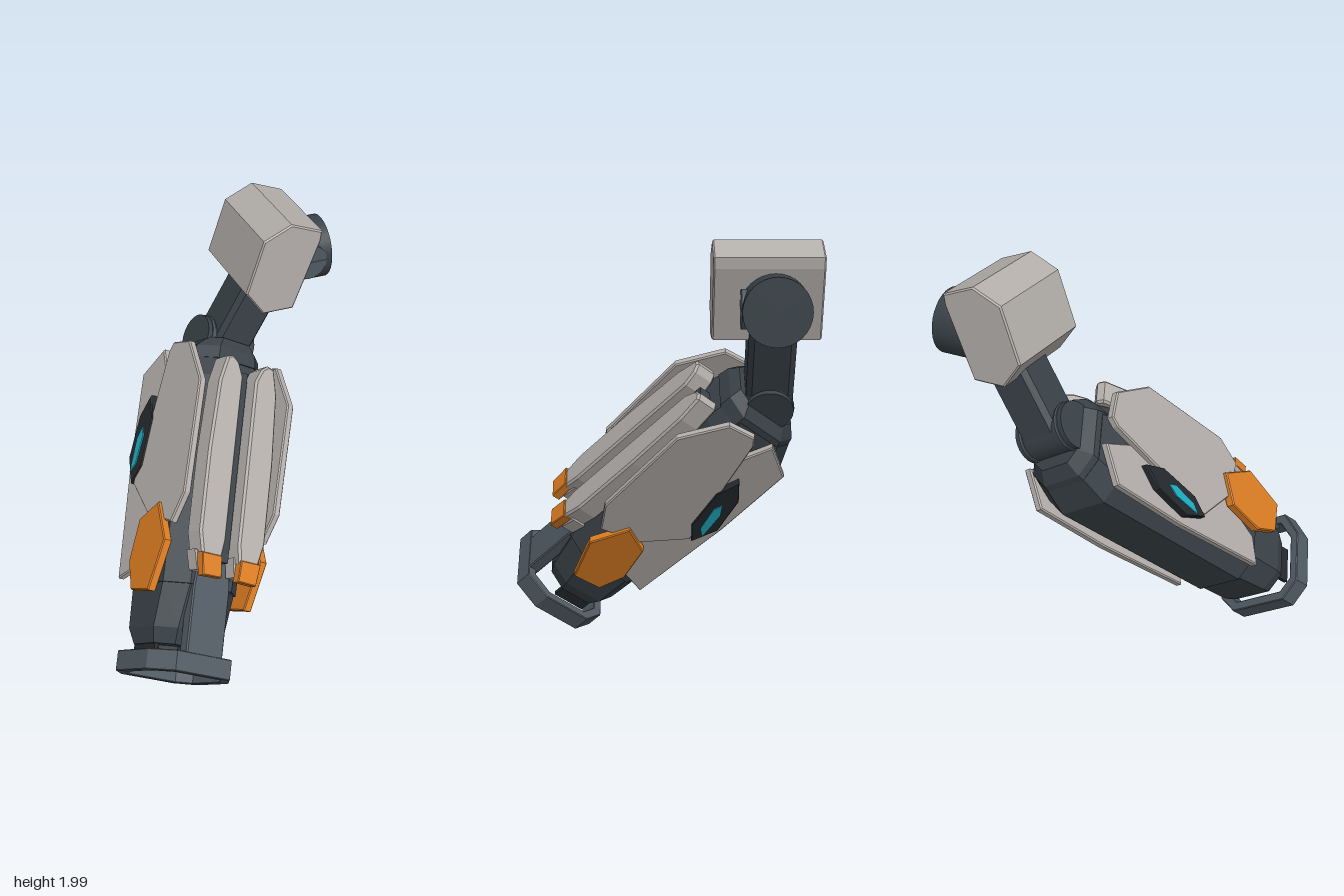
import * as THREE from 'three';
import { ConvexGeometry } from 'three/addons/geometries/ConvexGeometry.js';

const material = (name, color) => {
  const m = new THREE.MeshStandardMaterial({ color });
  m.name = name;
  return m;
};

export function createModel() {
  const grey = material('armourGrey', 0xb3aeaa);
  const dark = material('frameDark', 0x394147);
  const steel = material('trimSteel', 0x4f5961);
  const black = material('recessBlack', 0x24292d);
  const orange = material('accentOrange', 0xda7c22);
  const cyan = material('lightCyan', 0x1eacbf);

  const root = new THREE.Group();
  root.name = 'mechanicalArm';

  const add = (parent, name, geometry, mat, x = 0, y = 0, z = 0) => {
    const mesh = new THREE.Mesh(geometry, mat);
    mesh.name = name;
    mesh.position.set(x, y, z);
    parent.add(mesh);
    return mesh;
  };
  const toVectors = (pts) => pts.map(([x, y]) => new THREE.Vector2(x, y));

  // Slab of exact thickness with a small chamfer, starting at z = 0
  const slab = (pts, depth, bevel = 0.01, hole) => {
    const shape = new THREE.Shape(toVectors(pts));
    if (hole) shape.holes.push(new THREE.Path(toVectors(hole)));
    const g = new THREE.ExtrudeGeometry(shape, {
      depth: depth - 2 * bevel, bevelEnabled: bevel > 0, bevelSize: bevel,
      bevelOffset: -bevel, bevelThickness: bevel, bevelSegments: 1,
    });
    return g.translate(0, 0, bevel);
  };
  // Slab lying against the side of the forearm; points are [along, forward]
  const sideSlab = (pts, depth, bevel) =>
    slab(pts.map(([w, n]) => [-n, w]), depth, bevel).rotateY(Math.PI / 2);

  // Shoulder armour block
  add(root, 'shoulderArmour', slab([
    [0.295, 1.94], [0.43, 2.0], [0.583, 1.94], [0.575, 1.89], [0.49, 1.68],
    [0.445, 1.57], [0.295, 1.57], [0.21, 1.69],
  ], 0.475, 0.007), grey, 0, 0, -0.695);

  // Shoulder joint
  add(root, 'shoulderJoint',
    new THREE.CylinderGeometry(0.148, 0.148, 0.23, 32).rotateZ(Math.PI / 2), dark, 0.578, 1.722, -0.485);
  add(root, 'shoulderPivot',
    new THREE.CylinderGeometry(0.085, 0.085, 0.155, 24).rotateX(Math.PI / 2), steel, 0.58, 1.722, -0.415);
  add(root, 'shoulderLug', new THREE.BoxGeometry(0.08, 0.12, 0.08), black, 0.45, 1.76, -0.39);

  // Arm group has its origin at the elbow and leans sideways
  const arm = new THREE.Group();
  arm.name = 'arm';
  arm.position.set(0.178, 1.29, -0.485);
  arm.rotation.z = -Math.PI / 6;
  root.add(arm);

  // Upper arm and elbow
  add(arm, 'upperArm', slab([
    [-0.1, -0.08], [-0.08, -0.105], [0.08, -0.105], [0.1, -0.08],
    [0.1, 0.08], [0.08, 0.105], [-0.08, 0.105], [-0.1, 0.08],
  ], 0.52, 0).rotateX(-Math.PI / 2), dark, 0.012, 0, 0);
  add(arm, 'elbowJoint',
    new THREE.CylinderGeometry(0.108, 0.108, 0.27, 32).rotateZ(Math.PI / 2), dark);
  for (const s of [-1, 1]) {
    add(arm, 'elbowRing',
      new THREE.CylinderGeometry(0.113, 0.113, 0.014, 32).rotateZ(Math.PI / 2), steel, s * 0.105, 0, 0);
  }

  // Forearm: x across, y along towards the elbow, z forward
  const forearm = new THREE.Group();
  forearm.name = 'forearm';
  forearm.rotation.x = -41 * Math.PI / 180;
  arm.add(forearm);

  // Eight-sided body from cross-sections
  const section = (y, hx, z0, z1, c) => [
    [-hx, z0 + c], [-hx + c, z0], [hx - c, z0], [hx, z0 + c],
    [hx, z1 - c], [hx - c, z1], [-hx + c, z1], [-hx, z1 - c],
  ].map(([x, z]) => new THREE.Vector3(x, y, z));
  const hull = (...sections) => new ConvexGeometry(sections.flat());

  add(forearm, 'forearmBody', hull(
    section(-0.1, 0.185, -0.22, 0.16, 0.08), section(-0.22, 0.21, -0.28, 0.185, 0.09),
    section(-1.2, 0.205, -0.285, 0.16, 0.09)), dark);
  add(forearm, 'lowerBody', hull(
    section(-1.18, 0.2, -0.275, 0.155, 0.09), section(-1.4, 0.195, -0.265, 0.1, 0.08),
    section(-1.47, 0.165, -0.245, 0.06, 0.07)), dark);
  add(forearm, 'elbowCollar', hull(
    section(-0.02, 0.125, -0.16, 0.15, 0.05), section(-0.07, 0.18, -0.21, 0.17, 0.08),
    section(-0.13, 0.185, -0.23, 0.175, 0.08)), dark);

  // Central rail on the front of the forearm
  add(forearm, 'spine', new THREE.BoxGeometry(0.05, 0.9, 0.08), dark, 0, -0.64, 0.195);
  add(forearm, 'rail', slab([
    [-0.075, -0.95], [-0.1, -1.2], [-0.1, -1.53], [0.1, -1.53], [0.1, -1.2], [0.075, -0.95],
  ], 0.06, 0.006), steel, 0, 0, 0.108);

  // Guard ring around the open end
  add(forearm, 'guardRing', slab([
    [-0.15, 0.17], [-0.23, 0.05], [-0.23, -0.2], [-0.15, -0.285],
    [0.15, -0.285], [0.23, -0.2], [0.23, 0.05], [0.15, 0.17],
  ], 0.095, 0.004, [
    [-0.125, 0.125], [-0.188, 0.035], [-0.188, -0.18], [-0.13, -0.24],
    [0.13, -0.24], [0.188, -0.18], [0.188, 0.035], [0.125, 0.125],
  ]).rotateX(Math.PI / 2), steel, 0, -1.507, 0);

  // Emitter in the end face
  const octagon = (r) => Array.from({ length: 8 }, (_, i) => {
    const a = (i + 0.5) * Math.PI / 4;
    return [r * Math.cos(a), r * Math.sin(a)];
  });
  add(forearm, 'emitterFrame',
    slab(octagon(0.115), 0.05, 0.005, octagon(0.08)).rotateX(Math.PI / 2), black, 0, -1.46, -0.1);
  add(forearm, 'emitterLight', new THREE.CylinderGeometry(0.062, 0.062, 0.04, 24), cyan, 0, -1.48, -0.1);

  // Parts repeated on both sides
  const frontPlate = [
    [-0.1, -0.14], [-0.066, -0.165], [-0.036, -0.23], [-0.036, -1.0], [-0.05, -1.09],
    [-0.155, -1.09], [-0.182, -0.98], [-0.182, -0.6], [-0.165, -0.27], [-0.135, -0.15],
  ];
  const sidePlate = [
    [-0.09, 0.163], [-0.072, 0.03], [-0.11, 0], [-0.45, -0.095], [-0.73, -0.178],
    [-0.9, -0.014], [-0.95, 0.18], [-0.82, 0.262], [-0.295, 0.287],
  ];
  const rearPlate = [
    [-0.077, -0.087], [-0.173, -0.25], [-0.605, -0.267], [-1.17, -0.252],
    [-1.13, -0.12], [-0.87, 0.02], [-0.3, 0],
  ];
  const sideTip = [
    [-0.85, 0.086], [-0.917, -0.054], [-1.11, -0.102], [-1.245, -0.06], [-1.257, 0.086], [-1.033, 0.174],
  ];
  const lampHousing = [
    [-0.31, -0.1], [-0.4, -0.18], [-0.6, -0.232], [-0.73, -0.187], [-0.65, -0.115], [-0.43, -0.07],
  ];
  const lamp = [
    [-0.461, -0.135], [-0.514, -0.171], [-0.67, -0.2], [-0.638, -0.16], [-0.506, -0.122],
  ];

  for (const s of [-1, 1]) {
    const side = s > 0 ? 'left' : 'right';
    const flip = (pts) => pts.map(([x, y]) => [-s * x, y]);
    const addSide = (name, pts, inner, depth, mat, bevel) =>
      add(forearm, side + name, sideSlab(pts, depth, bevel), mat, s > 0 ? inner : -inner - depth, 0, 0);

    // Front armour strips with coloured ends
    add(forearm, side + 'FrontPlate', slab(flip(frontPlate), 0.11, 0.01), grey, 0, 0, 0.183);
    add(forearm, side + 'FrontPlateEnd', slab(flip([
      [-0.04, -1.06], [-0.055, -1.15], [-0.15, -1.15], [-0.175, -1.06],
    ]), 0.08, 0.008), grey, 0, 0, 0.18);
    add(forearm, side + 'FrontTip', slab(flip([
      [-0.054, -1.075], [-0.046, -1.175], [-0.148, -1.178], [-0.164, -1.075],
    ]), 0.045, 0.004), orange, 0, 0, 0.256);

    // Side armour
    addSide('SidePlate', sidePlate, 0.235, 0.038, grey, 0.006);
    addSide('RearPlate', rearPlate, 0.208, 0.038, grey, 0.006);
    addSide('SideTip', sideTip, 0.248, 0.044, orange, 0.005);
    addSide('LampHousing', lampHousing, 0.23, 0.049, black, 0.004);
    addSide('Lamp', lamp, 0.277, 0.008, cyan, 0);

    // Mount between body and side armour
    add(forearm, side + 'Mount', new THREE.BoxGeometry(0.05, 0.5, 0.12), black, s * 0.215, -0.55, 0);
    // Prongs beside the emitter
    add(forearm, side + 'Prong', new THREE.BoxGeometry(0.02, 0.09, 0.17), black, s * 0.145, -1.49, -0.1);
  }

  return root;
}
